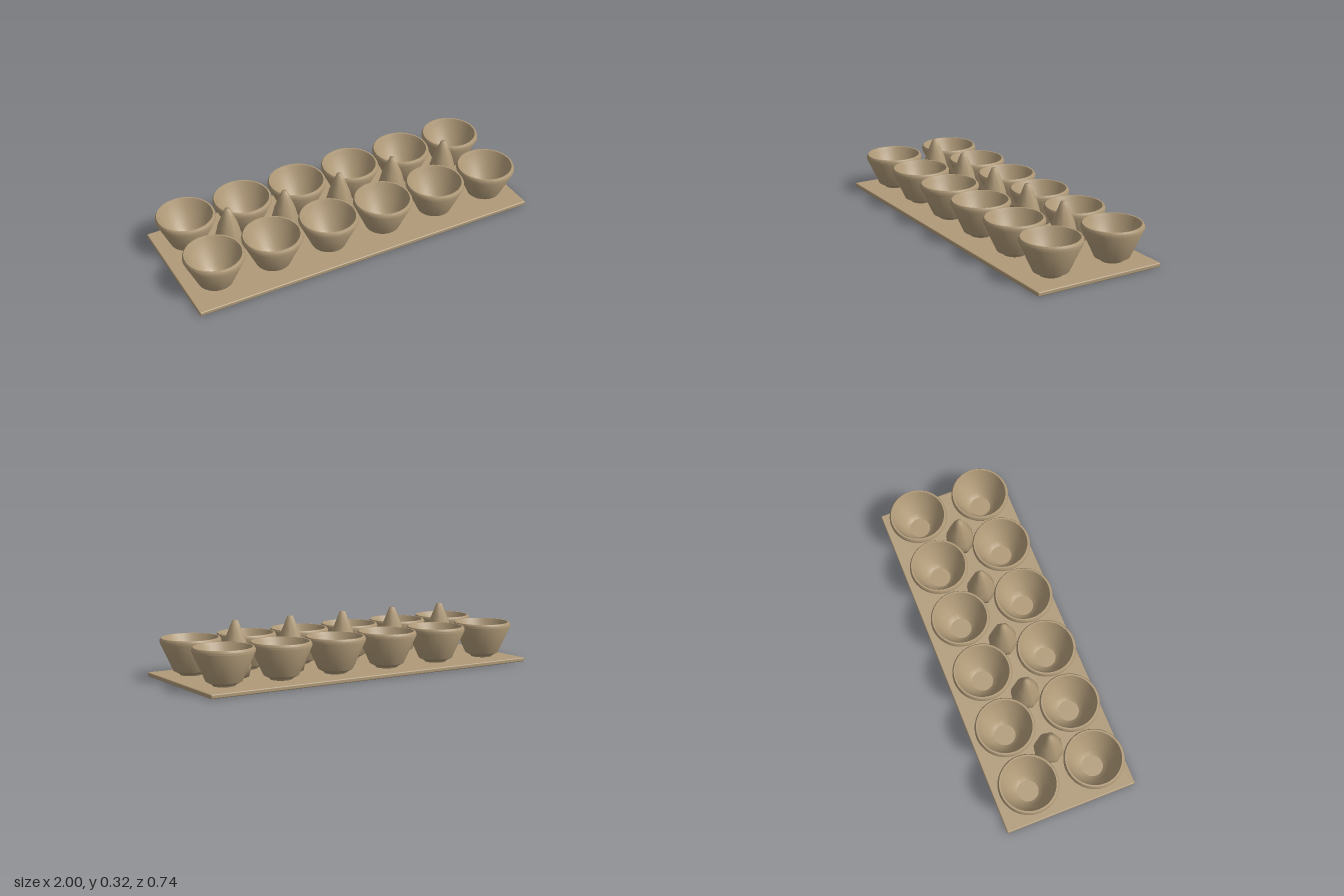
import * as THREE from 'three';
import { RoundedBoxGeometry } from 'three/addons/geometries/RoundedBoxGeometry.js';
import { toCreasedNormals } from 'three/addons/utils/BufferGeometryUtils.js';

const material = new THREE.MeshStandardMaterial({ color: 0xb09a78, side: THREE.DoubleSide });

const lathe = (profile, sides) =>
  new THREE.LatheGeometry(profile.map(([r, y]) => new THREE.Vector2(r, y)), sides);

export function createModel() {
  const model = new THREE.Group();
  model.name = 'eggTray';
  const add = (name, geometry, x, y, z) => {
    const mesh = new THREE.Mesh(geometry, material);
    mesh.name = name;
    mesh.position.set(x, y, z);
    model.add(mesh);
    return mesh;
  };

  // Thin base sheet with softened edges
  add('baseSheet', new RoundedBoxGeometry(2, 0.023, 0.74, 2, 0.006), 0, 0.0115, 0);

  // Hollow cup: foot, flared wall, rounded rim, sloping inside and flat floor
  const cup = toCreasedNormals(lathe([
    [0, 0.022], [0.058, 0.022], [0.062, 0.03], [0.093, 0.046], [0.163, 0.2],
    [0.162, 0.21], [0.155, 0.222], [0.147, 0.222], [0.139, 0.205],
    [0.085, 0.072], [0.058, 0.05], [0, 0.05],
  ], 40), 0.6);
  for (const z of [0.187, -0.187]) {
    for (let i = 0; i < 6; i++) add('cup', cup, (i - 2.5) / 3, 0, z);
  }

  // Eight-sided divider posts between the cups
  const post = lathe([
    [0, 0.022], [0.07, 0.022], [0.083, 0.078], [0.078, 0.13], [0.055, 0.222],
    [0.031, 0.28], [0.015, 0.32], [0, 0.321],
  ], 8);
  for (let i = 0; i < 5; i++) add('dividerPost', post, (i - 2) / 3, 0, 0).rotation.y = 0.2;

  return model;
}
